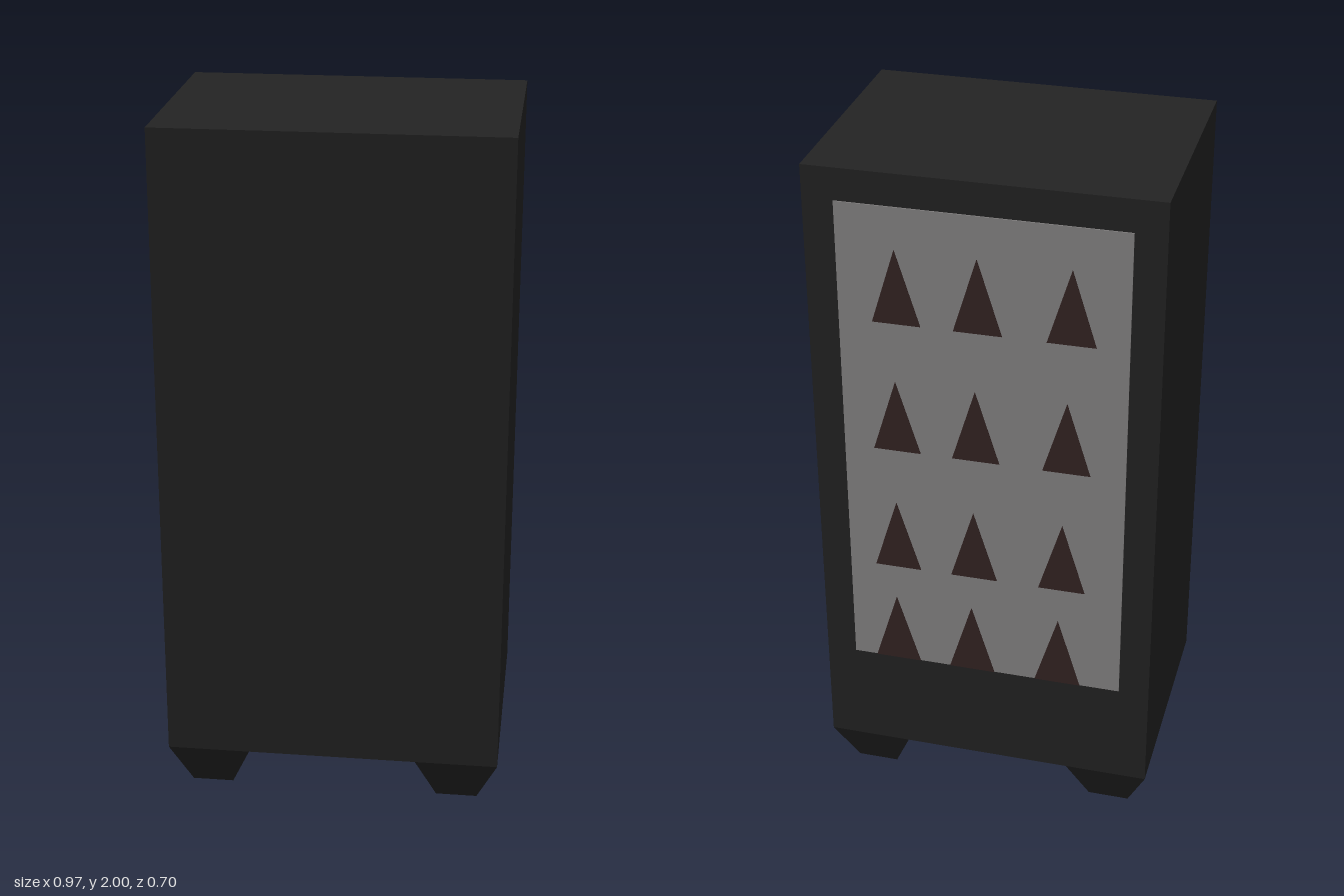
import * as THREE from 'three';

const W = 0.97, D = 0.7, BASE = 0.14, TOP = 2;

function material(name, color) {
  const m = new THREE.MeshStandardMaterial({ color });
  m.name = name;
  return m;
}

function add(group, name, geometry, mat, x = 0, y = 0, z = 0) {
  const mesh = new THREE.Mesh(geometry, mat);
  mesh.name = name;
  mesh.position.set(x, y, z);
  group.add(mesh);
  return mesh;
}

// Box whose bottom is narrowed to the given size around its own centre
function taperedLeg(w, h, d, bottomW, bottomD) {
  const g = new THREE.BoxGeometry(w, h, d).toNonIndexed();
  const p = g.attributes.position;
  for (let i = 0; i < p.count; i++) {
    if (p.getY(i) < 0) {
      p.setX(i, Math.sign(p.getX(i)) * bottomW / 2);
      p.setZ(i, Math.sign(p.getZ(i)) * bottomD / 2);
    }
  }
  g.computeVertexNormals();
  return g;
}

export function createModel() {
  const group = new THREE.Group();
  group.name = 'cabinet';
  const black = material('charcoal', 0x232323);
  const grey = material('panel grey', 0x888686);
  const brown = material('dark brown', 0x352423);

  // Cabinet body
  add(group, 'body', new THREE.BoxGeometry(W, TOP - BASE, D), black, 0, (TOP + BASE) / 2, 0);

  // Four tapered corner legs
  const legW = 0.24, legD = 0.23;
  const leg = taperedLeg(legW, BASE, legD, 0.12, 0.11);
  for (const sx of [-1, 1]) {
    for (const sz of [-1, 1]) {
      add(group, 'leg', leg, black, sx * (W - legW) / 2, BASE / 2, sz * (D - legD) / 2);
    }
  }

  // Pale panel on the back
  const panelBottom = 0.455, panelTop = 1.908;
  add(group, 'backPanel', new THREE.BoxGeometry(0.796, panelTop - panelBottom, 0.004), grey,
    0, (panelTop + panelBottom) / 2, -D / 2 - 0.001);

  // Rows of spikes painted on the panel, drifting sideways row by row
  const spike = new THREE.ExtrudeGeometry(new THREE.Shape([
    new THREE.Vector2(-0.067, -0.218),
    new THREE.Vector2(0.067, -0.218),
    new THREE.Vector2(0, 0),
  ]), { depth: 0.004, bevelEnabled: false });
  const apexY = [1.787, 1.391, 1.0, 0.673];
  apexY.forEach((y, row) => {
    [0.237, 0.013, -0.242].forEach((x) => {
      add(group, 'spike', spike, brown, x + row * 0.009, y, -D / 2 - 0.005);
    });
  });
  return group;
}
